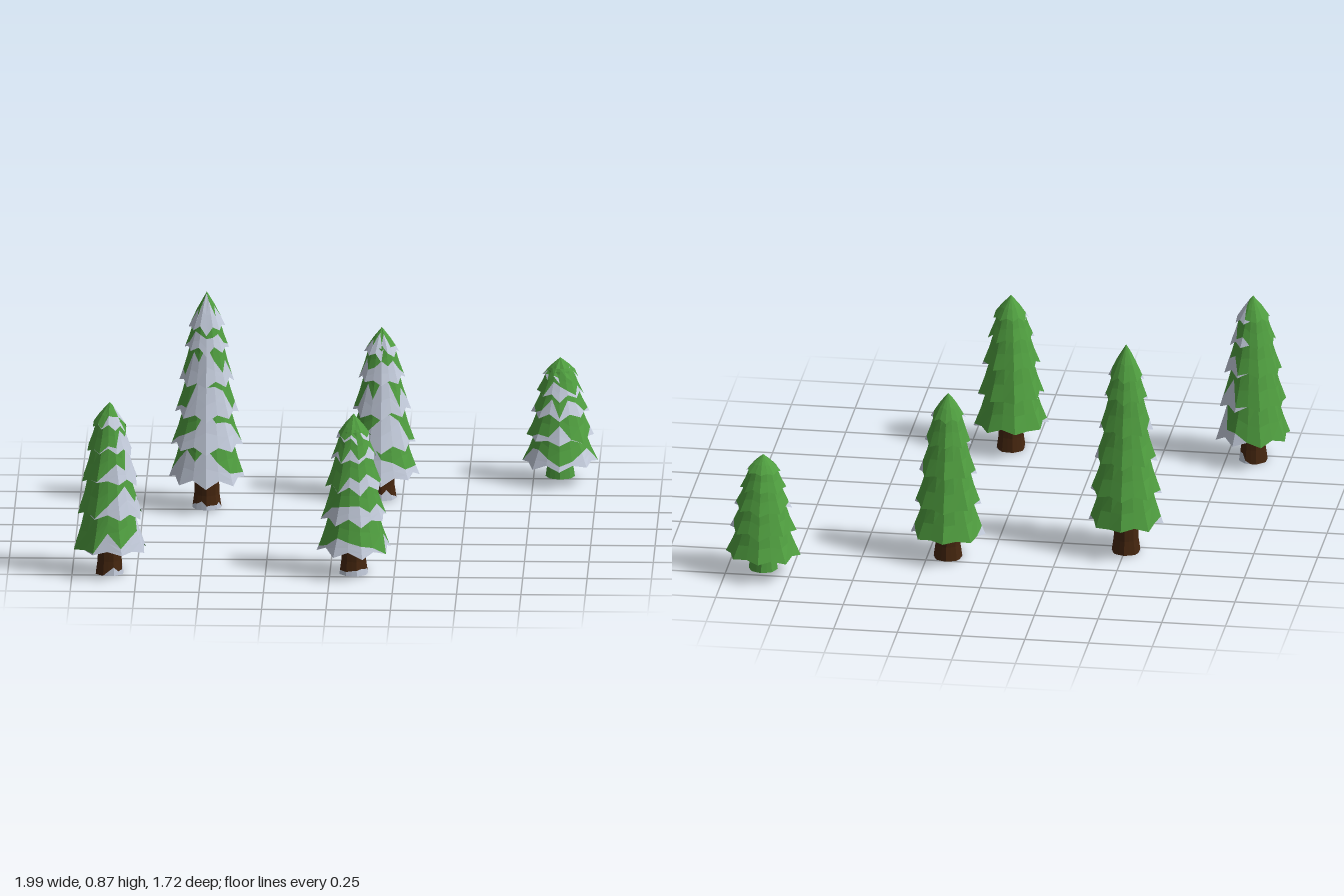
import * as THREE from 'three';

const SIDES = 8, STEPS = SIDES * 2;
const material = (color) => new THREE.MeshStandardMaterial({ color, flatShading: true, side: THREE.DoubleSide });
const green = material(0x4f9d3f), snow = material(0xc3cbdb), bark = material(0x45260f);
const lerp = THREE.MathUtils.lerp, clamp = THREE.MathUtils.clamp;

// Small seeded noise in 0..1
const noise = (a, b) => {
  const v = Math.sin(a * 12.9898 + b * 78.233) * 43758.5453;
  return v - Math.floor(v);
};

// Joins rings of points, listed from top to bottom, into a faceted mesh
function ringMesh(name, rings, mat) {
  const pos = [];
  const tri = (a, b, c) => {
    const area = new THREE.Vector3().crossVectors(b.clone().sub(a), c.clone().sub(a)).length();
    if (area > 1e-7) for (const p of [a, b, c]) pos.push(p.x, p.y, p.z);
  };
  for (let r = 0; r + 1 < rings.length; r++) {
    for (let i = 0; i < STEPS; i++) {
      const j = (i + 1) % STEPS, up = rings[r], low = rings[r + 1];
      tri(low[i], low[j], up[j]);
      tri(low[i], up[j], up[i]);
    }
  }
  const geometry = new THREE.BufferGeometry();
  geometry.setAttribute('position', new THREE.Float32BufferAttribute(pos, 3));
  geometry.computeVertexNormals();
  const mesh = new THREE.Mesh(geometry, mat);
  mesh.name = name;
  return mesh;
}

const ring = (fn) => Array.from({ length: STEPS }, (_, i) => fn(i, (i / STEPS) * Math.PI * 2));
const polar = (a, r, y) => new THREE.Vector3(Math.sin(a) * r, y, Math.cos(a) * r);

function createTree(name, t) {
  const tree = new THREE.Group();
  tree.name = name;
  tree.position.set(t.x, 0, t.z);
  const count = t.bottoms.length;

  // 1 on the side the snow blew from, falling to 0 at the edge of the snow
  const exposure = (a) => {
    const d = a + t.turn - t.wind;
    const off = Math.abs(Math.atan2(Math.sin(d), Math.cos(d)));
    return Math.max(0, 1 - off / t.spread);
  };

  // Tiers of branches, each a flared skirt with a wavy snow line
  for (let k = 0; k < count; k++) {
    const yb = t.bottoms[k], rb = t.radii[k];
    const last = k === count - 1;
    const yt = last ? t.height : t.bottoms[k + 1] + 0.02;
    const rt = last ? 0 : t.radii[k + 1] * 0.72;
    const point = (i, a, s) => {
      const corner = i % 2 === 0, e = exposure(a);
      const lipR = rb * (corner ? 1.01 : 0.9) * (1 + 0.03 * e);
      const jag = (noise(i + t.seed, k) - 0.5) * 0.014 + (corner ? -0.004 : 0.008);
      const lipY = yb + jag - 0.018 * e * (corner ? 1 : 0.3);
      return polar(a + t.turn, lerp(rt, lipR, Math.pow(s, last ? 0.85 : 1.2)), lerp(yt, lipY, s));
    };
    const line = (i, a) => {
      const e = exposure(a);
      if (e <= 0) return 1;
      const wave = (noise(i * 3 + t.seed, k + 7) - 0.4) * 0.6;
      return clamp(lerp(1, t.cover, Math.pow(e, 0.7)) + wave * Math.min(1, e * 3), 0, 1);
    };
    const at = (f) => ring((i, a) => point(i, a, f(line(i, a))));
    const lip = at(() => 1);
    const inner = ring((i, a) => polar(a + t.turn, rb * 0.6, yb + 0.03));
    const tier = new THREE.Group();
    tier.name = 'branchTier' + (k + 1);
    tier.add(ringMesh('branches', [at(() => 0), at((s) => s * 0.55), at((s) => s)], green));
    tier.add(ringMesh('snow', [at((s) => s), at((s) => (s + 1) / 2), lip], snow));
    tier.add(ringMesh('underside', [lip, inner], green));
    tree.add(tier);
  }

  // Trunk with a flared foot and a little snow at its base
  const y0 = t.base ?? 0, top = t.bottoms[0] + 0.06;
  const trunkRing = (r, y) => ring((i, a) => polar(a + t.turn, r * (i % 2 ? 0.94 : 1), y));
  const footTop = ring((i, a) => {
    const h = t.bareFoot ? 0 : 0.028 * Math.min(1, exposure(a) * 2) * (0.5 + noise(i, t.seed));
    return polar(a + t.turn, (i % 2 ? 0.94 : 1) * (0.057 - h * 0.15), y0 + h);
  });
  const foot = trunkRing(0.057, y0);
  tree.add(ringMesh('trunk', [trunkRing(0.045, top), trunkRing(0.049, y0 + 0.055), footTop], t.trunk ?? bark));
  tree.add(ringMesh('trunkSnow', [footTop, foot], snow));
  tree.add(ringMesh('trunkBottom', [foot, trunkRing(0, y0)], t.trunk ?? bark));
  return tree;
}

export function createModel() {
  const group = new THREE.Group();
  group.name = 'snowyPines';
  const radii = [0.145, 0.129, 0.112, 0.09, 0.068];
  const trees = {
    leftFrontPine: {
      x: 0.092, z: 0.69, height: 0.64, turn: 0.25, wind: 0.1, spread: 1.9, cover: 0.6, seed: 3,
      bottoms: [0.11, 0.235, 0.36, 0.475, 0.555], radii,
    },
    rightFrontPine: {
      x: -0.855, z: 0.71, height: 0.685, turn: 0.35, wind: 1.3, spread: 1.75, cover: 0.2, seed: 11,
      bottoms: [0.11, 0.25, 0.385, 0.505, 0.595], radii,
    },
    tallPine: {
      x: -0.505, z: -0.29, height: 0.865, turn: 0, wind: 0, spread: 1.8, cover: 0.12, seed: 5,
      bottoms: [0.13, 0.26, 0.39, 0.52, 0.65, 0.73], radii: [0.145, 0.138, 0.122, 0.105, 0.085, 0.07],
    },
    middlePine: {
      x: 0.17, z: -0.45, height: 0.685, turn: 0, wind: 0, spread: 1.8, cover: 0.15, seed: 8,
      bottoms: [0.105, 0.23, 0.36, 0.49, 0.59], radii,
    },
    smallPine: {
      x: 0.855, z: -0.72, height: 0.497, turn: 0, wind: 0, spread: 1.9, cover: 0.55, seed: 14,
      bottoms: [0.09, 0.19, 0.285, 0.365, 0.43], radii, base: 0.02, trunk: green, bareFoot: true,
    },
  };
  for (const [name, t] of Object.entries(trees)) group.add(createTree(name, t));
  return group;
}
